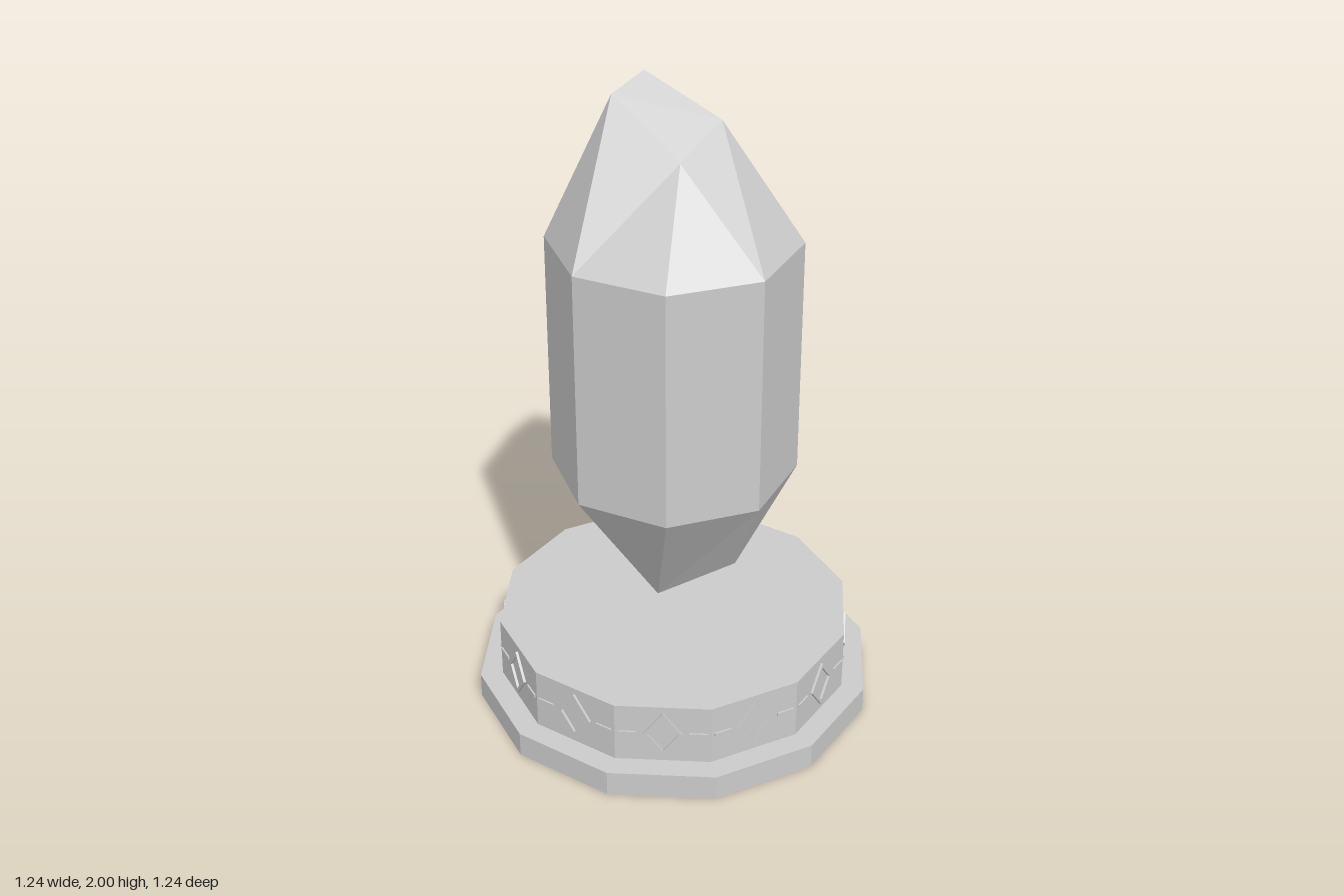
import * as THREE from 'three';

const material = new THREE.MeshStandardMaterial({ color: 0xcccccc, flatShading: true });

function addMesh(parent, name, geometry) {
  const mesh = new THREE.Mesh(geometry, material);
  mesh.name = name;
  parent.add(mesh);
  return mesh;
}

// Eight-sided ring; tip rings repeat each of their four corners twice
const octagon = (radius, y) => Array.from({ length: 8 }, (_, k) => {
  const a = (k * Math.PI) / 4;
  return [radius * Math.cos(a), y, radius * Math.sin(a)];
});

// Crystal: octagonal prism closed by irregular four-cornered tips
function crystalGeometry() {
  const [p, q, r, s] = [[-0.08, 0.35, 0.015], [0.1, 0.445, 0.015], [0.08, 0.48, 0.19], [-0.11, 0.55, -0.18]];
  const [a, b, c, d] = [[-0.155, 1.965, -0.08], [-0.025, 2, -0.095], [0.11, 1.87, 0.075], [-0.075, 1.8, 0.11]];
  const rings = [
    [q, r, r, p, p, s, s, q],
    octagon(0.37, 0.79),
    octagon(0.37, 1.52),
    [c, c, d, d, a, a, b, b],
  ];
  const positions = [];
  const triangle = (u, v, w) => {
    if (u !== v && v !== w && w !== u) positions.push(...u, ...v, ...w);
  };
  for (let i = 0; i < 3; i++) {
    const low = rings[i], high = rings[i + 1];
    for (let k = 0; k < 8; k++) {
      const n = (k + 1) % 8;
      triangle(low[n], low[k], high[k]);
      triangle(low[n], high[k], high[n]);
    }
  }
  // Tip facets
  triangle(a, d, c);
  triangle(a, c, b);
  triangle(p, q, r);
  triangle(p, s, q);
  const geometry = new THREE.BufferGeometry();
  geometry.setAttribute('position', new THREE.Float32BufferAttribute(positions, 3));
  geometry.computeVertexNormals();
  return geometry;
}

// Raised diamond outline
function diamondGeometry() {
  const corners = (w, h) => [[w, 0], [0, h], [-w, 0], [0, -h]].map(([x, y]) => new THREE.Vector2(x, y));
  const shape = new THREE.Shape(corners(0.058, 0.077));
  shape.holes.push(new THREE.Path(corners(0.046, 0.061)));
  return new THREE.ExtrudeGeometry(shape, { depth: 0.012, bevelEnabled: false });
}

export function createModel() {
  const model = new THREE.Group();
  model.name = 'crystalOnPedestal';

  addMesh(model, 'crystal', crystalGeometry());

  // Twelve-sided stepped pedestal
  addMesh(model, 'pedestalFoot', new THREE.CylinderGeometry(0.62, 0.62, 0.08, 12)).position.y = 0.04;
  addMesh(model, 'pedestalDrum', new THREE.CylinderGeometry(0.55, 0.55, 0.195, 12)).position.y = 0.1775;

  // A diamond flanked by thin bars on every face of the drum
  const diamond = diamondGeometry();
  const bar = new THREE.BoxGeometry(0.055, 0.01, 0.01);
  const apothem = 0.55 * Math.cos(Math.PI / 12);
  for (let i = 0; i < 12; i++) {
    const panel = new THREE.Group();
    panel.name = 'drumOrnament';
    panel.position.y = 0.18;
    panel.rotation.y = ((i + 0.5) * Math.PI) / 6;
    addMesh(panel, 'diamondFrame', diamond).position.z = apothem - 0.004;
    for (const side of [-1, 1]) {
      addMesh(panel, 'ornamentBar', bar).position.set(side * 0.105, 0, apothem);
    }
    model.add(panel);
  }
  return model;
}
